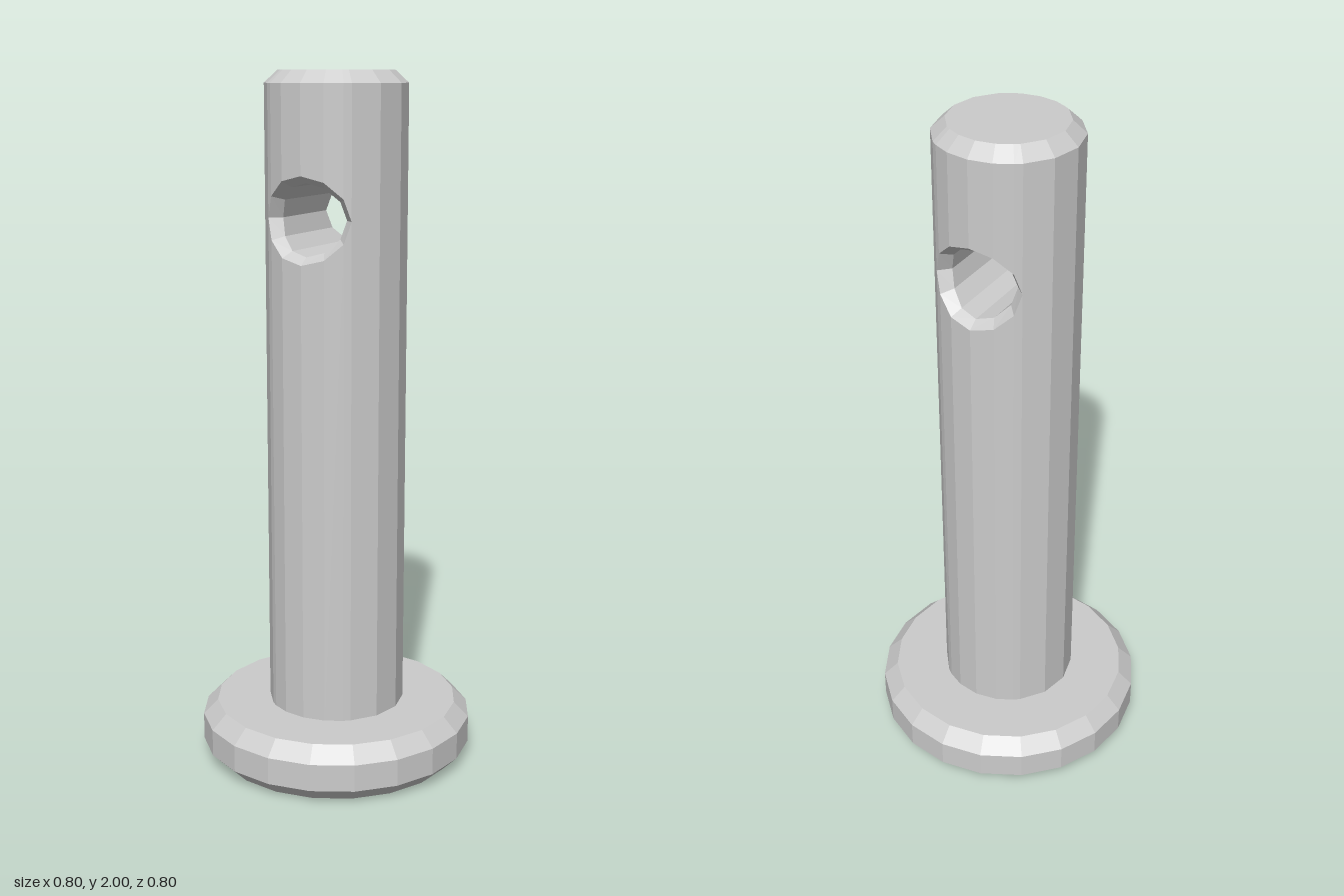
import * as THREE from 'three';

const R = 0.2;                       // shaft radius
const BOTTOM = 0.16, SHOULDER = 1.965, TOP = 2, TOP_R = 0.162;
const HOLE_Y = 1.603, HOLE_R = 0.1, MOUTH_X = 0.13, MOUTH_Y = 0.12, SINK = 0.03;
const STEPS = 12;                    // sides of the cross hole

const material = () => new THREE.MeshStandardMaterial({ color: 0xcccccc, flatShading: true });

// Collects quads and triangles, corners counter-clockwise from outside
function facetBuilder() {
  const pos = [];
  const tri = (a, b, c) => pos.push(...a, ...b, ...c);
  const quad = (a, b, c, d) => { tri(a, b, c); tri(a, c, d); };
  const build = () => {
    const g = new THREE.BufferGeometry();
    g.setAttribute('position', new THREE.Float32BufferAttribute(pos, 3));
    g.computeVertexNormals();
    return g;
  };
  return { tri, quad, build };
}

// Front half of the shaft: faceted wall, top bevel and half of the cross hole
function halfShaftGeometry() {
  const { tri, quad, build } = facetBuilder();
  const at = (a, y, r = R) => [r * Math.sin(a), y, r * Math.cos(a)];

  // Facet edges line up with the corners of the hole mouth
  const angles = [-Math.PI / 2, -1.13];
  for (let k = STEPS / 2; k >= 0; k--) {
    angles.push(Math.asin(MOUTH_X * Math.cos(k * 2 * Math.PI / STEPS) / R));
  }
  angles.push(1.13, Math.PI / 2);
  const mouthRise = (a) =>
    MOUTH_Y * Math.sqrt(Math.max(0, 1 - (R * Math.sin(a) / MOUTH_X) ** 2));

  for (let i = 0; i < angles.length - 1; i++) {
    const a = angles[i], b = angles[i + 1];
    const ra = mouthRise(a), rb = mouthRise(b);
    quad(at(a, BOTTOM), at(b, BOTTOM), at(b, HOLE_Y - rb), at(a, HOLE_Y - ra));
    quad(at(a, HOLE_Y + ra), at(b, HOLE_Y + rb), at(b, SHOULDER), at(a, SHOULDER));
    quad(at(a, SHOULDER), at(b, SHOULDER), at(b, TOP, TOP_R), at(a, TOP, TOP_R));
    tri(at(a, TOP, TOP_R), at(b, TOP, TOP_R), [0, TOP, 0]);
  }

  // Countersunk mouth and bore, running to the middle of the shaft
  const rings = (k) => {
    const p = k * 2 * Math.PI / STEPS, c = Math.cos(p), s = Math.sin(p);
    const z = Math.sqrt(R * R - (MOUTH_X * c) ** 2);
    return [
      [MOUTH_X * c, HOLE_Y + MOUTH_Y * s, z],
      [HOLE_R * c, HOLE_Y + HOLE_R * s, z - SINK],
      [HOLE_R * c, HOLE_Y + HOLE_R * s, 0],
    ];
  };
  for (let k = 0; k < STEPS; k++) {
    const p = rings(k), q = rings(k + 1);
    for (let j = 0; j < 2; j++) quad(p[j], q[j], q[j + 1], p[j + 1]);
  }
  return build();
}

export function createModel() {
  const pin = new THREE.Group();
  pin.name = 'clevisPin';

  // Bevelled disc head
  const profile = [[0, 0], [0.357, 0], [0.4, 0.043], [0.4, 0.122], [0.357, 0.165], [0, 0.165]];
  const head = new THREE.Mesh(
    new THREE.LatheGeometry(profile.map(([x, y]) => new THREE.Vector2(x, y)), 20),
    material());
  head.name = 'head';
  pin.add(head);

  // Shaft from two matching halves
  const shaft = new THREE.Group();
  shaft.name = 'shaft';
  const half = halfShaftGeometry();
  ['shaftFront', 'shaftBack'].forEach((name, i) => {
    const mesh = new THREE.Mesh(half, material());
    mesh.name = name;
    mesh.rotation.y = i * Math.PI;
    shaft.add(mesh);
  });
  pin.add(shaft);
  return pin;
}
